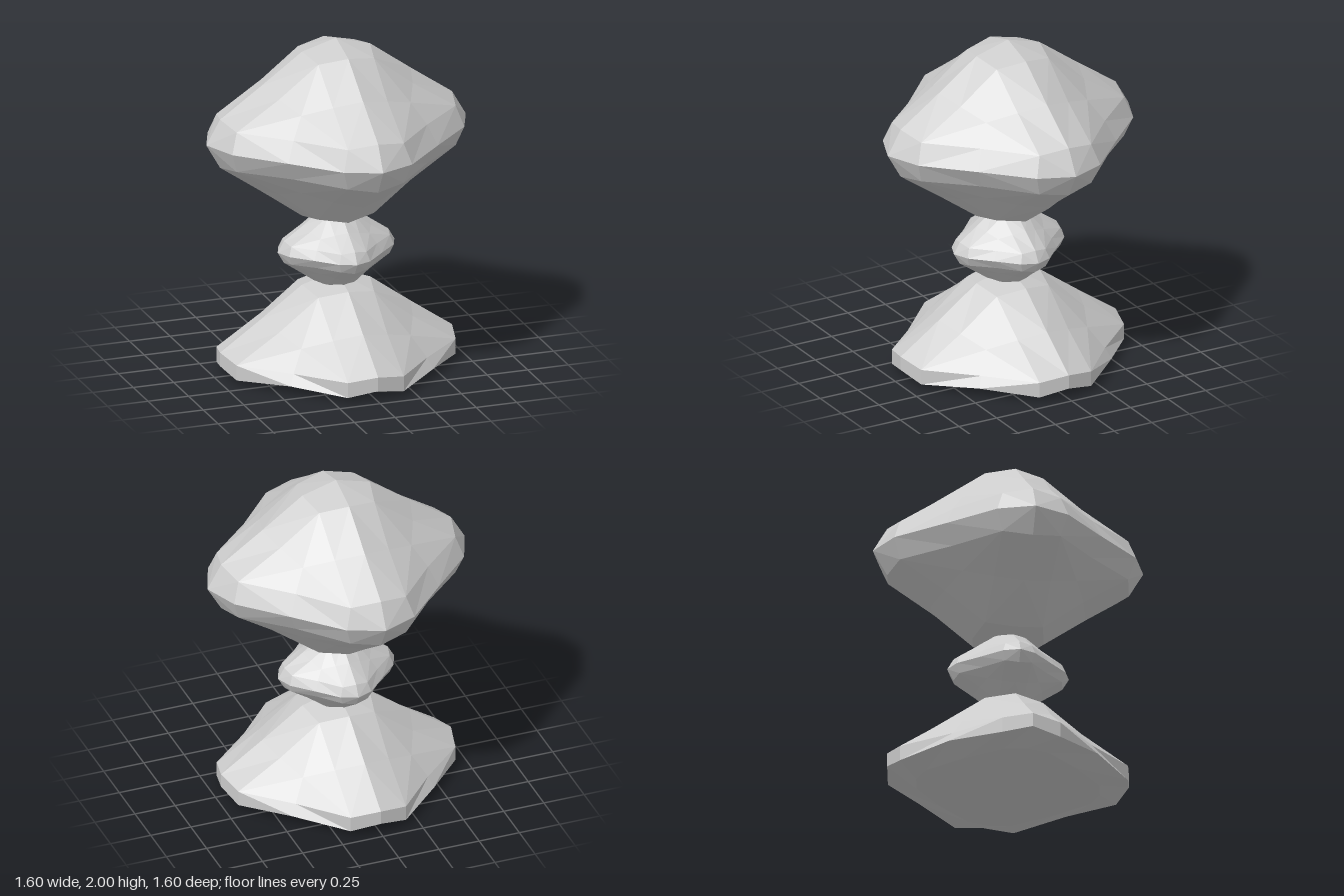
import * as THREE from 'three';

// Corner points of one third of an octant, around the +x tip of a faceted octahedral gem
const tip = [0.8, 0, 0], edgeA = [0.715, 0.21, 0], edgeB = [0.715, 0, 0.21];
const midA = [0.46, 0.46, 0], midB = [0.46, 0, 0.46];
const inner = [0.675, 0.172, 0.172], face = [0.337, 0.337, 0.337];
const ridgeA = [0.412, 0.412, 0.168], ridgeB = [0.412, 0.168, 0.412];
const facets = [
  [tip, edgeA, inner], [tip, inner, edgeB],
  [edgeA, midA, ridgeA], [edgeA, ridgeA, inner],
  [inner, ridgeA, face], [inner, face, ridgeB],
  [inner, ridgeB, midB], [inner, midB, edgeB],
];
const SQUASH = 0.706;

// Turn a list of triangles into a flat-shaded mesh
function mesh(name, triangles) {
  const geometry = new THREE.BufferGeometry();
  geometry.setAttribute('position', new THREE.Float32BufferAttribute(triangles.flat(2), 3));
  geometry.computeVertexNormals();
  const material = new THREE.MeshStandardMaterial({ color: 0xcccccc, flatShading: true });
  const result = new THREE.Mesh(geometry, material);
  result.name = name;
  return result;
}

// Repeat the facets over three axes and the chosen octants
function gemTriangles(ySigns, place) {
  const triangles = [];
  for (const sx of [1, -1]) for (const sy of ySigns) for (const sz of [1, -1]) {
    for (let turn = 0; turn < 3; turn++) {
      for (const facet of facets) {
        const t = facet.map((p) => place([
          sx * p[(3 - turn) % 3],
          sy * p[(4 - turn) % 3] * SQUASH,
          sz * p[(5 - turn) % 3],
        ]));
        triangles.push(sx * sy * sz > 0 ? t : t.reverse());
      }
    }
  }
  return triangles;
}

// Rim of the base: the gem's equator is drawn in and lifted
function rimPoint([x, y, z]) {
  if (Math.abs(y) > 1e-6) return [x, y, z];
  const ax = Math.abs(x), az = Math.abs(z);
  const long = Math.max(ax, az), short = Math.min(ax, az);
  const [l, s, h] = short < 0.01 ? [0.715, 0, 0.065]
    : short < 0.3 ? [0.675, 0.172, 0.03] : [0.44, 0.44, 0.055];
  const px = ax >= az ? l : s, pz = ax >= az ? s : l;
  return long < 0.01 ? [0, 0, 0] : [Math.sign(x) * px, h, Math.sign(z) * pz];
}

// Underside: bevelled ring and flat floor
function undersideTriangles() {
  const quarter = [tip, edgeB, midB, [0.21, 0, 0.715]];
  const rim = [];
  for (let q = 0; q < 4; q++) {
    for (let [x, , z] of quarter) {
      for (let i = 0; i < q; i++) [x, z] = [-z, x];
      rim.push(rimPoint([x, 0, z]));
    }
  }
  const floor = rim.map(([x, , z]) => [x * 0.76, 0, z * 0.76]);
  const triangles = [];
  rim.forEach((a, i) => {
    const j = (i + 1) % rim.length;
    triangles.push([a, rim[j], floor[j]], [a, floor[j], floor[i]], [floor[i], floor[j], [0, 0, 0]]);
  });
  return triangles;
}

export function createModel() {
  const group = new THREE.Group();
  group.name = 'stackedStones';

  // Large top stone
  const top = mesh('topStone', gemTriangles([1, -1], (p) => p));
  top.position.y = 1.435;

  // Small stone between the two large ones
  const neck = mesh('neckStone', gemTriangles([1, -1], (p) => p));
  neck.scale.setScalar(0.45);
  neck.position.y = 0.72;

  // Half stone standing on the ground
  const base = mesh('baseStone', [...gemTriangles([1], rimPoint), ...undersideTriangles()]);

  group.add(top, neck, base);
  return group;
}
